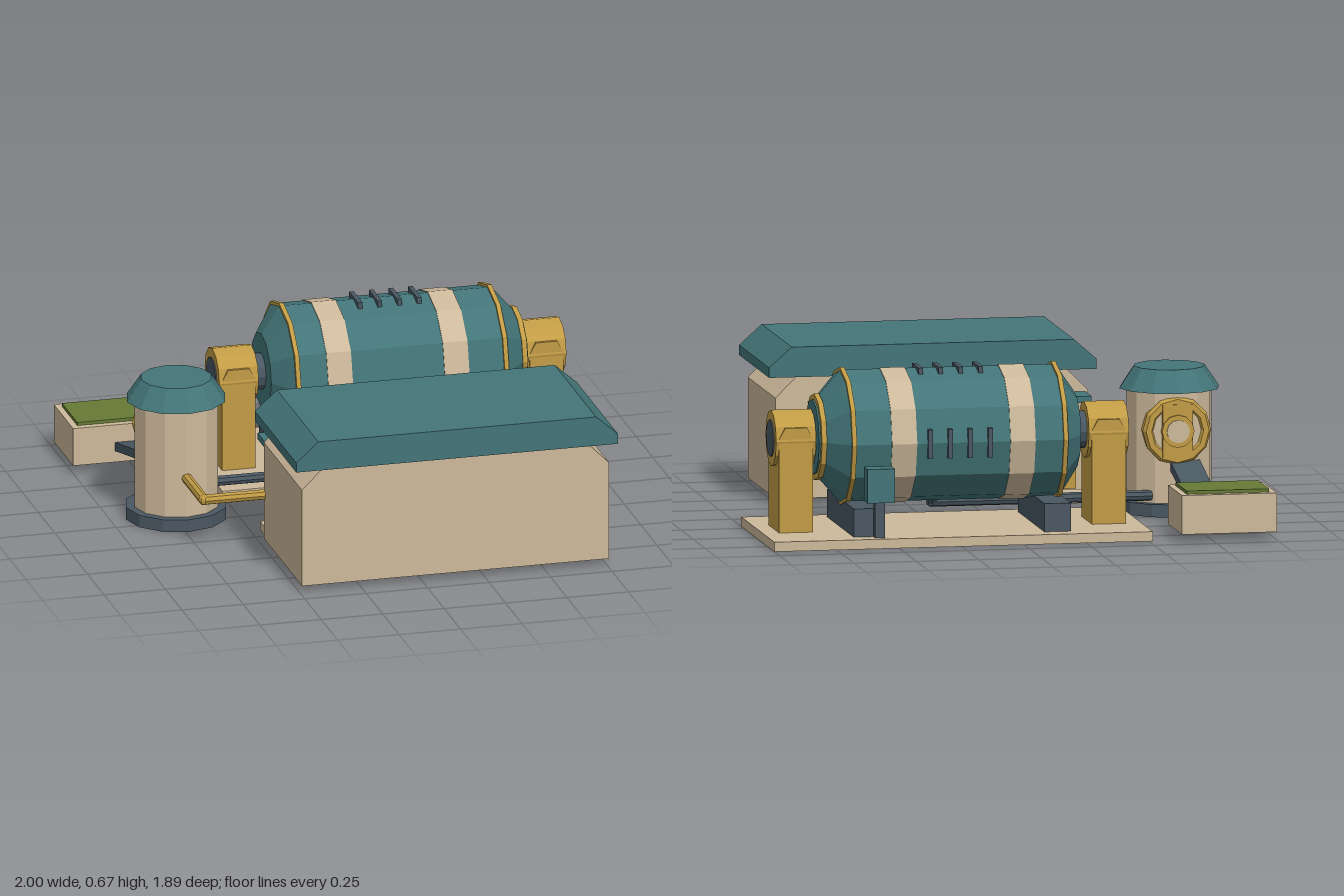
import * as THREE from 'three';

export function createModel() {
  const model = new THREE.Group();
  const mat = (name, color) => {
    const m = new THREE.MeshStandardMaterial({ color });
    m.name = name;
    return m;
  };
  const teal = mat('teal', 0x437578);
  const tan = mat('tan', 0xcdb99b);
  const gold = mat('gold', 0xc29c45);
  const slate = mat('slate', 0x4a5863);
  const green = mat('green', 0x677a36);

  // Adds a faceted mesh
  const add = (name, geo, material, parent = model) => {
    const g = geo.index ? geo.toNonIndexed() : geo;
    g.computeVertexNormals();
    const mesh = new THREE.Mesh(g, material);
    mesh.name = name;
    parent.add(mesh);
    return mesh;
  };
  const group = (name) => {
    const g = new THREE.Group();
    g.name = name;
    model.add(g);
    return g;
  };
  // Box given by its extents
  const box = (name, x0, x1, y0, y1, z0, z1, m, parent) =>
    add(name, new THREE.BoxGeometry(x1 - x0, y1 - y0, z1 - z0)
      .translate((x0 + x1) / 2, (y0 + y1) / 2, (z0 + z1) / 2), m, parent);
  // Outline in x, y extruded from z0 to z1
  const slab = (name, pts, z0, z1, m, parent) =>
    add(name, new THREE.ExtrudeGeometry(new THREE.Shape(pts.map(p => new THREE.Vector2(...p))),
      { depth: z1 - z0, bevelEnabled: false }).translate(0, 0, z0), m, parent);
  // Straight piece between two points
  const rod = (name, a, b, r, m, parent) => {
    const p = new THREE.Vector3(...a), q = new THREE.Vector3(...b);
    const d = q.clone().sub(p);
    const geo = new THREE.CylinderGeometry(r, r, d.length(), 8);
    geo.applyQuaternion(new THREE.Quaternion().setFromUnitVectors(new THREE.Vector3(0, 1, 0), d.normalize()));
    const c = p.add(q).multiplyScalar(0.5);
    return add(name, geo.translate(c.x, c.y, c.z), m, parent);
  };
  const pipe = (name, pts, r, m) => {
    const g = group(name);
    for (let i = 0; i + 1 < pts.length; i++) {
      rod('pipeRun', pts[i], pts[i + 1], r, m, g);
      if (i) add('pipeElbow', new THREE.SphereGeometry(r * 1.05, 8, 6).translate(...pts[i]), m, g);
    }
  };

  // Building with clipped upper corners and hipped-end roof
  const house = group('building');
  slab('walls', [[-0.49, 0.025], [0.76, 0.025], [0.76, 0.425], [0.67, 0.515], [-0.4, 0.515], [-0.49, 0.425]],
    0.34, 0.92, tan, house);
  slab('roof', [[-0.52, 0.51], [0.79, 0.51], [0.79, 0.55], [0.7, 0.63], [-0.43, 0.63], [-0.52, 0.55]],
    0.315, 0.945, teal, house);
  box('windowStrip', -0.16, 0.63, 0.29, 0.41, 0.332, 0.341, teal, house);
  for (let i = 0; i < 4; i++) {
    const x = 0.47 - i * 0.16;
    box('windowBar', x - 0.008, x + 0.008, 0.285, 0.415, 0.326, 0.341, gold, house);
  }
  box('door', -0.44, -0.23, 0.035, 0.39, 0.324, 0.341, gold, house);
  box('doorWindow', -0.39, -0.28, 0.24, 0.31, 0.317, 0.325, teal, house);
  box('doorCanopy', -0.48, -0.187, 0.392, 0.418, 0.207, 0.341, teal, house);
  box('doorStep', -0.46, -0.2, 0, 0.035, 0.168, 0.31, tan, house);

  // Silo
  const sx = -0.735, sz = -0.08;
  const silo = group('silo');
  const ring = (name, rTop, rBottom, y0, y1, m) =>
    add(name, new THREE.CylinderGeometry(rTop, rBottom, y1 - y0, 12)
      .translate(sx, (y0 + y1) / 2, sz), m, silo);
  ring('siloBase', 0.203, 0.203, 0, 0.05, slate);
  ring('siloBody', 0.17, 0.17, 0.05, 0.5, tan);
  ring('siloCap', 0.142, 0.2, 0.49, 0.577, teal);

  // Round hatch on the back of the silo
  const hatchDisc = (name, r, z0, z1, m) =>
    add(name, new THREE.CylinderGeometry(r, r, z1 - z0, 12).rotateX(Math.PI / 2)
      .translate(sx, 0.34, (z0 + z1) / 2), m, silo);
  hatchDisc('hatchPlate', 0.105, -0.246, -0.2, tan);
  add('hatchRing', new THREE.TorusGeometry(0.115, 0.022, 6, 12).translate(sx, 0.34, -0.24), gold, silo);
  hatchDisc('hatchRim', 0.132, -0.238, -0.19, gold);
  box('hatchBar', sx - 0.06, sx + 0.06, 0.235, 0.445, -0.262, -0.24, gold, silo);
  hatchDisc('hatchHub', 0.065, -0.272, -0.24, gold);
  hatchDisc('hatchLens', 0.046, -0.277, -0.27, tan);

  // Pipes
  pipe('goldPipe', [[-0.45, 0.21, 0.345], [sx, 0.21, 0.345], [sx, 0.21, 0.05]], 0.021, gold);
  pipe('drainPipe', [[-0.64, 0.08, -0.207], [0.24, 0.08, -0.207], [0.24, 0.235, -0.32]], 0.021, slate);

  // Planter bin and conveyor
  const bin = group('bin');
  box('binBody', -1, -0.62, 0.032, 0.187, -0.95, -0.655, tan, bin);
  box('binFill', -0.975, -0.645, 0.18, 0.2, -0.92, -0.685, green, bin);
  const conveyor = add('conveyor', new THREE.BoxGeometry(0.12, 0.035, 0.48), slate, bin);
  conveyor.position.set(-0.77, 0.145, -0.455);
  conveyor.rotation.x = -0.24;

  // Drum machine, lying along x
  const drum = group('drumMachine');
  const cy = 0.4, cz = -0.542;
  const barrel = (name, x0, x1, r0, r1, m) =>
    add(name, new THREE.CylinderGeometry(r1, r0, x1 - x0, 12).rotateZ(-Math.PI / 2)
      .translate((x0 + x1) / 2, cy, cz), m, drum);
  box('pad', -0.515, 1, 0, 0.038, -0.89, -0.197, tan, drum);
  barrel('drumBody', -0.19, 0.67, 0.264, 0.264, teal);
  barrel('drumTaperRight', -0.265, -0.19, 0.155, 0.264, teal);
  barrel('drumTaperLeft', 0.67, 0.757, 0.264, 0.165, teal);
  barrel('endRing', 0.755, 0.775, 0.172, 0.172, gold);
  barrel('endPlate', 0.77, 0.782, 0.15, 0.15, teal);
  for (const x of [-0.183, 0.663]) barrel('hoop', x - 0.009, x + 0.009, 0.274, 0.274, gold);
  for (const x of [-0.012, 0.462]) barrel('band', x - 0.05, x + 0.05, 0.268, 0.268, tan);
  barrel('shaft', -0.47, 0.952, 0.074, 0.074, slate);

  // Pedestals with bearings, and cradles under the drum
  for (const x of [-0.385, 0.867]) {
    slab('pedestal', [[x - 0.068, 0.038], [x + 0.068, 0.038], [x + 0.068, 0.41],
      [x + 0.043, 0.453], [x - 0.043, 0.453], [x - 0.068, 0.41]], cz - 0.11, cz + 0.11, gold, drum);
    barrel('bearing', x - 0.08, x + 0.08, 0.112, 0.112, gold);
  }
  for (const x of [-0.148, 0.615])
    box('cradle', x - 0.053, x + 0.053, 0.038, 0.15, cz - 0.275, cz + 0.28, slate, drum);

  // Vent slots on the top and back
  for (let i = 0; i < 4; i++) {
    const x = 0.12 + i * 0.08;
    box('topVent', x - 0.009, x + 0.009, 0.64, 0.672, cz - 0.068, cz + 0.068, slate, drum);
    box('backVent', x - 0.009, x + 0.009, cy - 0.06, cy + 0.055, cz - 0.274, cz - 0.24, slate, drum);
  }

  // Control box on a post
  box('controlBox', 0.515, 0.625, 0.18, 0.315, -0.882, -0.805, teal, drum);
  box('controlPost', 0.55, 0.59, 0.038, 0.18, -0.858, -0.826, slate, drum);

  return model;
}
